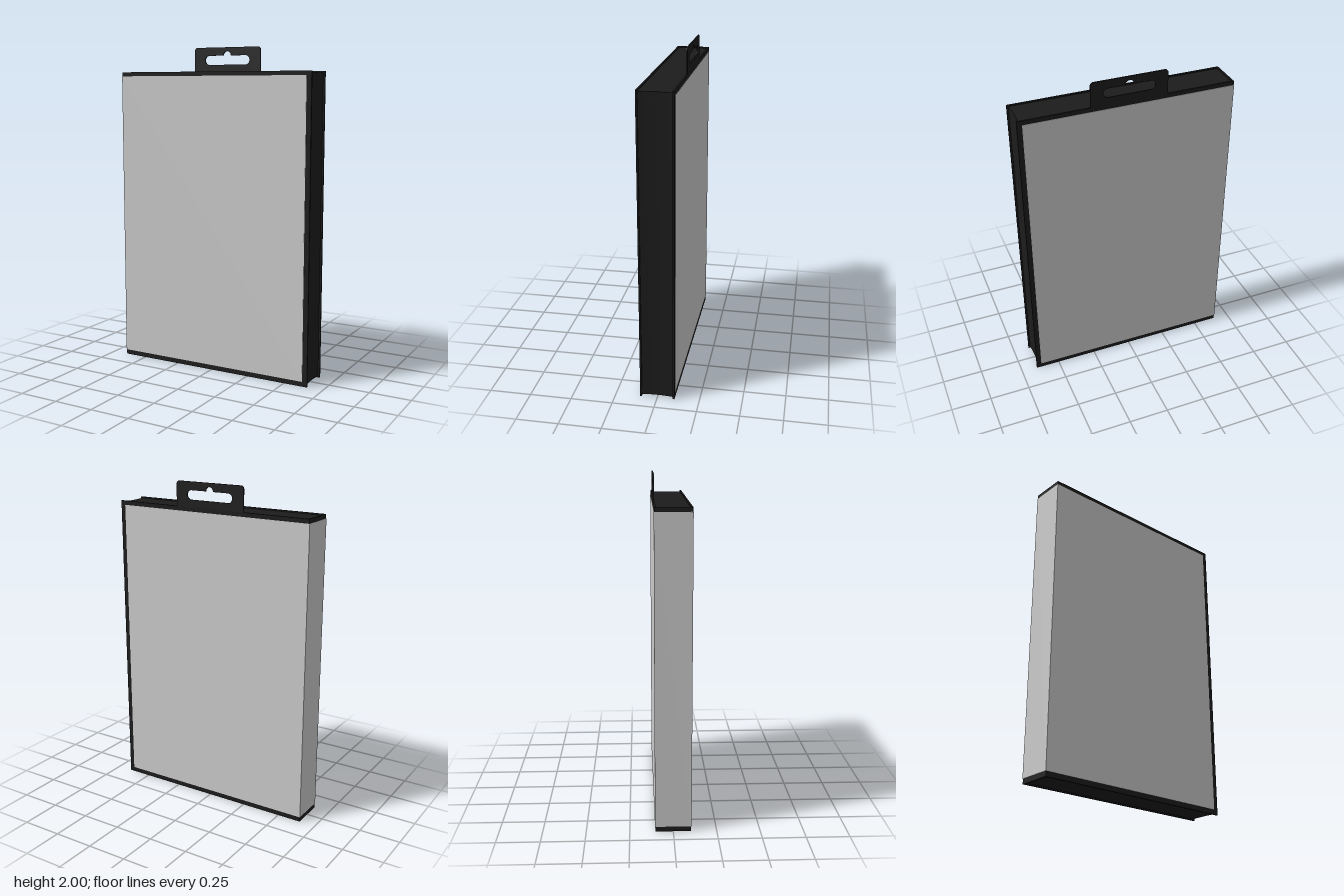
import * as THREE from 'three';

const W = 0.65, H = 1.85, D = 0.105;   // half width, height, half depth
const WALL = 0.01, SKIN = 0.002;       // shell thickness, cover sheet thickness

const black = new THREE.MeshStandardMaterial({ color: 0x1c1c1c });
const grey = new THREE.MeshStandardMaterial({ color: 0xcccccc });

function add(group, name, geometry, material) {
  const mesh = new THREE.Mesh(geometry, material);
  mesh.name = name;
  group.add(mesh);
  return mesh;
}

// Extrudes an x-z outline upwards from y0 to y1
function extrudeUp(shape, y0, y1) {
  const g = new THREE.ExtrudeGeometry(shape, { depth: y1 - y0, bevelEnabled: false, curveSegments: 10 });
  return g.rotateX(-Math.PI / 2).translate(0, y0, 0);
}

// Flat tab with rounded top corners and a slotted hanging hole
function tabGeometry() {
  const w = 0.23, top = 2, r = 0.02;
  const s = new THREE.Shape();
  s.moveTo(-w, H - 0.02);
  s.lineTo(w, H - 0.02);
  s.lineTo(w, top - r);
  s.absarc(w - r, top - r, r, 0, Math.PI / 2);
  s.lineTo(-w + r, top);
  s.absarc(-w + r, top - r, r, Math.PI / 2, Math.PI);
  s.closePath();

  const cy = 1.922, hr = 0.028, hx = 0.127, br = 0.026;
  const hole = new THREE.Path();
  hole.moveTo(-hx, cy - hr);
  hole.lineTo(hx, cy - hr);
  hole.absarc(hx, cy, hr, -Math.PI / 2, Math.PI / 2);
  hole.lineTo(br, cy + hr);
  hole.absarc(0, cy + hr, br, 0, Math.PI);
  hole.lineTo(-hx, cy + hr);
  hole.absarc(-hx, cy, hr, Math.PI / 2, Math.PI * 1.5);
  s.holes.push(hole);
  return new THREE.ExtrudeGeometry(s, { depth: 0.008, bevelEnabled: false, curveSegments: 10 });
}

export function createModel() {
  const group = new THREE.Group();
  group.name = 'displayCase';
  const d = D - SKIN, w = W - SKIN;

  // Front and back plates, whose edges stand proud as rims
  for (const side of [1, -1]) {
    const plate = add(group, side > 0 ? 'frontPlate' : 'backPlate',
      new THREE.BoxGeometry(W + w, H, WALL), black);
    plate.position.set(SKIN / 2, H / 2, side * (d - WALL / 2));
  }

  // Closed side wall
  const wall = add(group, 'sideWall', new THREE.BoxGeometry(WALL, H, 2 * d), black);
  wall.position.set(-w + WALL / 2, H / 2, 0);

  // Core with a shallow concave opening edge, set slightly below the rims
  const zi = d - WALL / 2;
  const core = new THREE.Shape();
  core.moveTo(-w + WALL / 2, -zi);
  core.lineTo(W - 0.01, -zi);
  core.quadraticCurveTo(W - 0.024, 0, W - 0.01, zi);
  core.lineTo(-w + WALL / 2, zi);
  core.closePath();
  add(group, 'core', extrudeUp(core, 0.008, H - 0.008), black);

  // Cover sheet wrapped around front, closed side and back
  const xr = 0.62;
  const wrap = new THREE.Shape([
    [-W, -D], [xr, -D], [xr, -d], [-w, -d], [-w, d], [xr, d], [xr, D], [-W, D],
  ].map(([x, z]) => new THREE.Vector2(x, z)));
  add(group, 'coverSheet', extrudeUp(wrap, 0.03, H - 0.025), grey);

  // Hanging tab at the back
  add(group, 'hangingTab', tabGeometry(), black).position.z = -d;

  return group;
}
